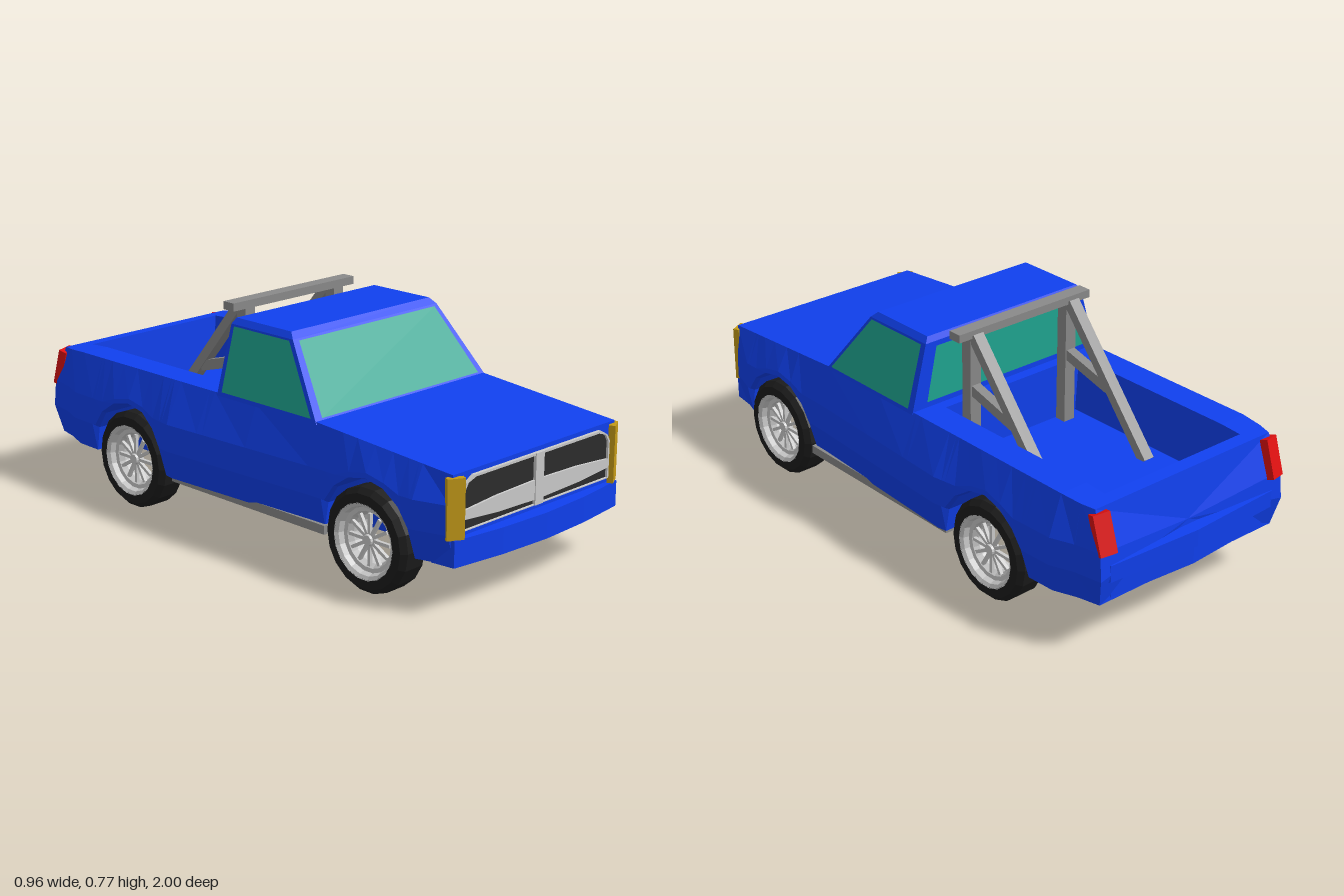
import * as THREE from 'three';

const V = (x, y, z) => new THREE.Vector3(x, y, z);
const paint = (color, side = THREE.FrontSide) =>
  new THREE.MeshStandardMaterial({ color, flatShading: true, side });

// Piecewise-linear lookup; stops are [position, value] with falling positions
function lookup(stops, z) {
  if (z >= stops[0][0]) return stops[0][1];
  for (let i = 1; i < stops.length; i++) {
    const [z0, a] = stops[i - 1], [z1, b] = stops[i];
    if (z >= z1) return a + (b - a) * (z0 - z) / (z0 - z1);
  }
  return stops[stops.length - 1][1];
}

// Skin a run of closed rings (counter-clockwise seen from the first end) and cap both ends
function loft(rings) {
  const pos = [];
  const tri = (...pts) => pts.forEach(p => pos.push(p.x, p.y, p.z));
  const n = rings[0].length;
  for (let i = 0; i + 1 < rings.length; i++) {
    for (let j = 0; j < n; j++) {
      const k = (j + 1) % n;
      const a = rings[i][j], b = rings[i][k], c = rings[i + 1][k], d = rings[i + 1][j];
      tri(a, d, b);
      tri(d, c, b);
    }
  }
  const mid = r => r.reduce((s, p) => s.add(p), V(0, 0, 0)).divideScalar(n);
  const first = rings[0], last = rings[rings.length - 1];
  const m0 = mid(first), m1 = mid(last);
  for (let j = 0; j < n; j++) {
    const k = (j + 1) % n;
    tri(m0, first[j], first[k]);
    tri(m1, last[k], last[j]);
  }
  const g = new THREE.BufferGeometry();
  g.setAttribute('position', new THREE.Float32BufferAttribute(pos, 3));
  g.computeVertexNormals();
  return g;
}

const AXLES = [0.635, -0.5], HUB_Y = 0.178, ARCH = 0.195, SILL = 0.165;
const WIDTH = [[0.95, 0.41], [0.84, 0.447], [0.4, 0.445], [0.1, 0.46], [-0.27, 0.478],
  [-0.45, 0.45], [-0.62, 0.462], [-0.8, 0.455], [-0.93, 0.405]];
const TOP = [[0.95, 0.455], [0.38, 0.498], [-0.8, 0.498], [-0.93, 0.49]];
const SHOULDER = [[0.95, 0.395], [0.4, 0.405], [-0.85, 0.405], [-0.93, 0.385]];
const LEAN = [[0.49, 0], [0.36, 0.045], [0.25, 0.055], [0.165, 0.03]];

// One body cross-section; bed = open load bed, tail = leaning rear end
function bodySection({ z, bed, tail }) {
  let arch = SILL;
  for (const a of AXLES) {
    const d = Math.abs(z - a);
    if (d < ARCH) arch = Math.max(arch, HUB_Y + Math.sqrt(ARCH * ARCH - d * d));
  }
  const w = lookup(WIDTH, z), top = lookup(TOP, z), floor = bed ? 0.3 : top;
  const half = [
    [0, SILL], [0.32, SILL], [0.32, arch], [w - 0.02, arch],
    [w, Math.max(0.265, arch + 0.008)], [w - 0.003, Math.max(0.36, arch + 0.025)],
    [lookup(SHOULDER, z), top], [0.3, top], [bed ? 0.285 : 0.3, floor], [0, floor],
  ];
  const mirrored = half.slice(1, -1).reverse().map(([x, y]) => [-x, y]);
  return half.concat(mirrored).map(([x, y]) => V(x, y, z - (tail ? lookup(LEAN, y) : 0)));
}

function bodyGeometry() {
  const s = [0.95, 0.38, 0.1, -0.1, -0.125].map(z => ({ z }));
  for (const z of [-0.127, -0.27, -0.8, -0.88]) s.push({ z, bed: true });
  s.push({ z: -0.882 }, { z: -0.93, tail: true });
  for (const a of AXLES)
    for (let i = 0; i <= 8; i++)
      s.push({ z: a + ARCH * Math.cos(Math.PI * i / 8), bed: a < 0 });
  s.sort((p, q) => q.z - p.z);
  return loft(s.map(bodySection));
}

// Upright slab from a plan outline of [x, z] points
function slab(plan, y0, y1) {
  const shape = new THREE.Shape(plan.map(([x, z]) => new THREE.Vector2(x, -z)));
  return new THREE.ExtrudeGeometry(shape, { depth: y1 - y0, bevelEnabled: false })
    .rotateX(-Math.PI / 2).translate(0, y0, 0);
}

// Thin front-facing plate from an [x, y] outline
function plate(outline, depth, z, holes = []) {
  const path = pts => pts.map(([x, y]) => new THREE.Vector2(x, y));
  const shape = new THREE.Shape(path(outline));
  holes.forEach(h => shape.holes.push(new THREE.Path(path(h))));
  return new THREE.ExtrudeGeometry(shape, { depth, bevelEnabled: false }).translate(0, 0, z);
}

export function createModel() {
  const truck = new THREE.Group();
  truck.name = 'pickupTruck';
  const DS = THREE.DoubleSide;
  const blue = paint(0x1040ee), glass = paint(0x1fa590, DS), steel = paint(0x8a8a8a);
  const chrome = paint(0xbdbdbd, DS), black = paint(0x1c1c1c), dark = paint(0x2c2c2c);
  const amber = paint(0xc49a18), red = paint(0xe01010);
  const add = (name, geo, mat, parent = truck) => {
    const m = new THREE.Mesh(geo, mat);
    m.name = name;
    parent.add(m);
    return m;
  };

  add('body', bodyGeometry(), blue);

  // Cab: rings from roof down to the belt line
  const ring = (y, x, zf, zb) => [V(-x, y, zf), V(x, y, zf), V(x, y, zb), V(-x, y, zb)];
  add('cab', loft([ring(0.745, 0.33, 0.19, -0.07), ring(0.725, 0.345, 0.212, -0.08),
    ring(0.49, 0.41, 0.385, -0.085)]), blue);

  // Windows lie just off the cab faces
  const pane = (name, a, b, c, d) => {
    const g = new THREE.BufferGeometry().setFromPoints([a, b, c, a, c, d]);
    g.computeVertexNormals();
    add(name, g, glass);
  };
  const cabX = y => 0.41 - 0.065 * (y - 0.49) / 0.235;
  const cabZ = y => 0.385 - 0.173 * (y - 0.49) / 0.235;
  const lo = 0.505, hi = 0.72;
  const wf = (x, y) => V(x, y, cabZ(y) + 0.005);
  pane('windshield', wf(-0.378, lo), wf(0.378, lo), wf(0.325, hi), wf(-0.325, hi));
  pane('rearWindow', V(0.35, 0.52, -0.09), V(-0.35, 0.52, -0.09),
    V(-0.305, 0.71, -0.086), V(0.305, 0.71, -0.086));
  for (const s of [1, -1]) {
    const ws = (y, z) => V(s * (cabX(y) + 0.004), y, z);
    pane('sideWindow', ws(lo, cabZ(lo) - 0.015), ws(lo, -0.062), ws(hi, -0.062), ws(hi, cabZ(hi) - 0.015));
  }

  // Bumpers
  add('frontBumper', slab([[-0.41, 0.88], [0.41, 0.88], [0.4, 0.965], [0.2, 0.99], [0, 1],
    [-0.2, 0.99], [-0.4, 0.965]], 0.162, 0.25), blue);
  add('rearBumper', slab([[-0.4, -0.94], [-0.36, -0.98], [0, -1], [0.36, -0.98], [0.4, -0.94]],
    0.245, 0.305), blue);
  add('rearValance', slab([[-0.37, -0.88], [-0.34, -0.96], [0, -0.985], [0.34, -0.96], [0.37, -0.88]],
    0.175, 0.245), blue);

  // Grille: dark backing, thin surround, tapered crossbar and centre bar
  const grille = new THREE.Group();
  grille.name = 'grille';
  truck.add(grille);
  const outline = k => [[-0.36 + k, 0.268], [0.36 - k, 0.268], [0.36 - k, 0.395],
    [0.345 - k, 0.42], [0.31 - k, 0.44 - k], [-0.31 + k, 0.44 - k], [-0.345 + k, 0.42], [-0.36 + k, 0.395]];
  add('grilleBacking', plate(outline(0.002), 0.008, 0.946), dark, grille);
  const hole = outline(0.008);
  hole[0][1] = hole[1][1] = 0.271;
  add('grilleSurround', plate(outline(0), 0.016, 0.946, [hole]), chrome, grille);
  add('grilleCrossbar', plate([[-0.355, 0.305], [-0.2, 0.292], [0, 0.286], [0.2, 0.292], [0.355, 0.305],
    [0.355, 0.335], [0.2, 0.347], [0, 0.352], [-0.2, 0.347], [-0.355, 0.335]], 0.016, 0.946), chrome, grille);
  add('grilleCentreBar', plate([[-0.02, 0.268], [0.02, 0.268], [0.02, 0.44], [-0.02, 0.44]],
    0.019, 0.946), chrome, grille);

  for (const s of [1, -1]) {
    // Lamps at the four corners
    const head = add('headlight', new THREE.BoxGeometry(0.058, 0.197, 0.022), amber);
    head.position.set(s * 0.387, 0.348, 0.953);
    head.rotation.y = s * 0.5;
    const tail = add('taillight', new THREE.BoxGeometry(0.06, 0.135, 0.032), red);
    tail.position.set(s * 0.374, 0.413, -0.955);
    tail.rotation.set(0.3, s * -0.25, 0);
    // Side step
    add('sideStep', new THREE.BoxGeometry(0.05, 0.03, 0.74), steel).position.set(s * 0.415, 0.16, 0.08);
  }

  // Roll bar: hoop with braces down to the bed floor
  const rollBar = new THREE.Group();
  rollBar.name = 'rollBar';
  truck.add(rollBar);
  const bar = (name, a, b, w, h) => {
    const m = add(name, new THREE.BoxGeometry(w, h, a.distanceTo(b)), steel, rollBar);
    m.position.copy(a).lerp(b, 0.5);
    m.lookAt(b);
  };
  add('rollBarTop', new THREE.BoxGeometry(0.575, 0.028, 0.05), steel, rollBar).position.set(0, 0.76, -0.157);
  for (const s of [1, -1]) {
    const x = s * 0.212;
    add('rollBarPost', new THREE.BoxGeometry(0.045, 0.46, 0.042), steel, rollBar).position.set(x, 0.53, -0.153);
    bar('rollBarBrace', V(x, 0.75, -0.175), V(x, 0.295, -0.555), 0.042, 0.034);
    bar('rollBarStrut', V(x, 0.555, -0.17), V(x, 0.5, -0.37), 0.035, 0.036);
  }

  // Wheels: tyre, stepped rim, twelve spokes and hub
  const turned = pts => new THREE.LatheGeometry(pts.map(p => new THREE.Vector2(...p)), 18).rotateZ(-Math.PI / 2);
  const tyreGeo = turned([[0.122, -0.057], [0.155, -0.057], [0.173, -0.04], [0.174, 0.038],
    [0.157, 0.056], [0.125, 0.057]]);
  const rimGeo = turned([[0.124, -0.056], [0.085, -0.05], [0.083, 0.012], [0.094, 0.03],
    [0.108, 0.032], [0.114, 0.05], [0.127, 0.058]]);
  const hubGeo = new THREE.CylinderGeometry(0.018, 0.022, 0.03, 12).rotateZ(-Math.PI / 2);
  const spokeGeo = new THREE.BoxGeometry(0.012, 0.075, 0.011).translate(0.025, 0.05, 0);
  for (const z of AXLES) {
    for (const s of [1, -1]) {
      const wheel = new THREE.Group();
      wheel.name = z > 0 ? 'frontWheel' : 'rearWheel';
      wheel.position.set(s * 0.397, 0.174, z);
      if (s < 0) wheel.rotation.y = Math.PI;
      add('tyre', tyreGeo, black, wheel);
      add('rim', rimGeo, chrome, wheel);
      add('hub', hubGeo, chrome, wheel).position.x = 0.025;
      for (let i = 0; i < 12; i++) add('spoke', spokeGeo, chrome, wheel).rotation.x = i * Math.PI / 6;
      truck.add(wheel);
    }
  }
  return truck;
}
